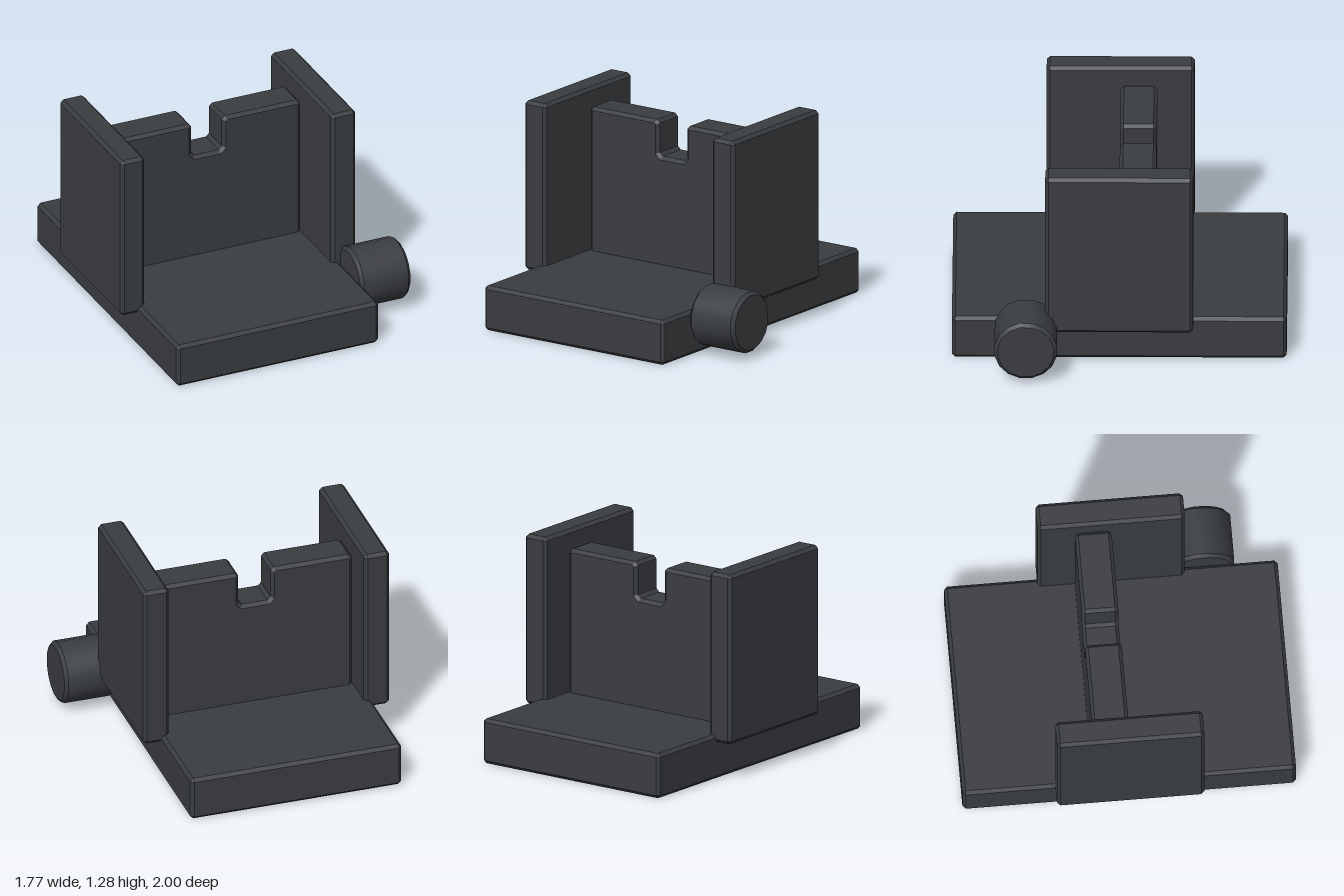
import * as THREE from 'three';
import { ConvexGeometry } from 'three/addons/geometries/ConvexGeometry.js';
import { toCreasedNormals } from 'three/addons/utils/BufferGeometryUtils.js';

const BEVEL = 0.02;

// Box given by its limits, with every edge chamfered
function chamferBox(x0, x1, y0, y1, z0, z1, b = BEVEL) {
  const h = [(x1 - x0) / 2, (y1 - y0) / 2, (z1 - z0) / 2];
  const points = [];
  for (const sx of [-1, 1]) for (const sy of [-1, 1]) for (const sz of [-1, 1]) {
    for (let axis = 0; axis < 3; axis++) {
      const [x, y, z] = h.map((v, i) => (i === axis ? v : v - b));
      points.push(new THREE.Vector3(sx * x, sy * y, sz * z));
    }
  }
  return new ConvexGeometry(points).translate((x0 + x1) / 2, (y0 + y1) / 2, (z0 + z1) / 2);
}

// Upright wall with a notch in its top edge
function notchedWall() {
  const x0 = -0.725, x1 = 0.5, y0 = 0.23, y1 = 1.167;
  const n0 = -0.215, n1 = -0.012, floor = 0.945, b = BEVEL;
  const shape = new THREE.Shape([
    [x0, y0], [x1, y0],
    [x1, y1 - b], [x1 - b, y1],
    [n1 + b, y1], [n1, y1 - b],
    [n1, floor + b], [n1 - b, floor],
    [n0 + b, floor], [n0, floor + b],
    [n0, y1 - b], [n0 - b, y1],
    [x0 + b, y1], [x0, y1 - b],
  ].map(([x, y]) => new THREE.Vector2(x, y)));
  const depth = 0.22;
  return new THREE.ExtrudeGeometry(shape, {
    depth: depth - 2 * b, bevelEnabled: true, bevelSegments: 1,
    bevelThickness: b, bevelSize: b, bevelOffset: -b,
  }).translate(0, 0, b - depth);
}

// Sixteen-sided knob with chamfered rims, lying along x
function knobGeometry() {
  const r = 0.19, length = 0.33, b = BEVEL;
  const profile = [[0, 0], [r - b, 0], [r, b], [r, length - b], [r - b, length], [0, length]]
    .map(([x, y]) => new THREE.Vector2(x, y));
  const lathe = new THREE.LatheGeometry(profile, 16, Math.PI / 16);
  return toCreasedNormals(lathe, 0.5).rotateZ(-Math.PI / 2).translate(0.555, 0.225, 0.557);
}

export function createModel() {
  const group = new THREE.Group();
  const flat = new THREE.MeshStandardMaterial({ color: 0x3a3d41, flatShading: true });
  const smooth = new THREE.MeshStandardMaterial({ color: 0x3a3d41 });

  const add = (name, geometry, material = flat) => {
    const mesh = new THREE.Mesh(geometry, material);
    mesh.name = name;
    group.add(mesh);
  };

  add('base', chamferBox(-0.778, 0.552, 0, 0.277, -1, 1));
  add('rearNotchWall', notchedWall());
  // Side plates, overhanging the base
  add('rightSidePlate', chamferBox(-0.888, -0.728, 0.23, 1.28, -0.442, 0.442));
  add('leftSidePlate', chamferBox(0.5, 0.662, 0.23, 1.28, -0.442, 0.442));
  add('sideKnob', knobGeometry(), smooth);
  return group;
}
